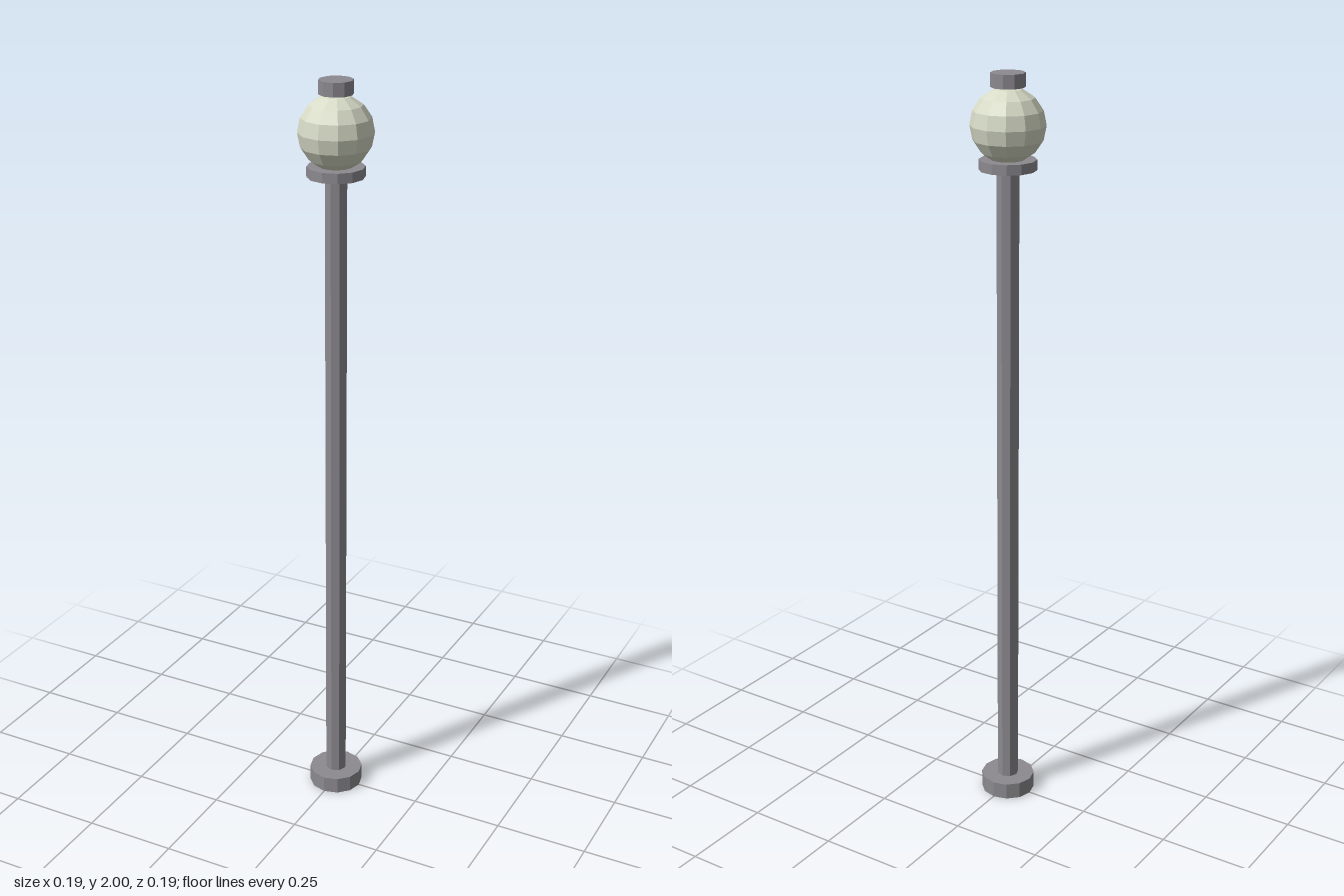
import * as THREE from 'three';

export function createModel() {
  const group = new THREE.Group();
  const metal = new THREE.MeshStandardMaterial({ color: 0x8c8a8f, flatShading: true });
  const glass = new THREE.MeshStandardMaterial({ color: 0xd6dac6, flatShading: true });

  // Upright faceted cylinder between two heights, with a corner on +x
  function drum(name, radius, bottom, top, sides) {
    const geometry = new THREE.CylinderGeometry(radius, radius, top - bottom, sides);
    geometry.rotateY(Math.PI / 2);
    const mesh = new THREE.Mesh(geometry, metal);
    mesh.name = name;
    mesh.position.y = (bottom + top) / 2;
    group.add(mesh);
  }

  drum('base', 0.073, 0, 0.045, 12);
  drum('pole', 0.029, 0.04, 1.765, 8);
  drum('collar', 0.073, 1.762, 1.788, 12);
  drum('cap', 0.0435, 1.965, 2, 10);

  // Lamp globe resting in the collar
  const globe = new THREE.Mesh(new THREE.SphereGeometry(0.095, 12, 8), glass);
  globe.name = 'globe';
  globe.position.y = 1.872;
  group.add(globe);

  return group;
}
